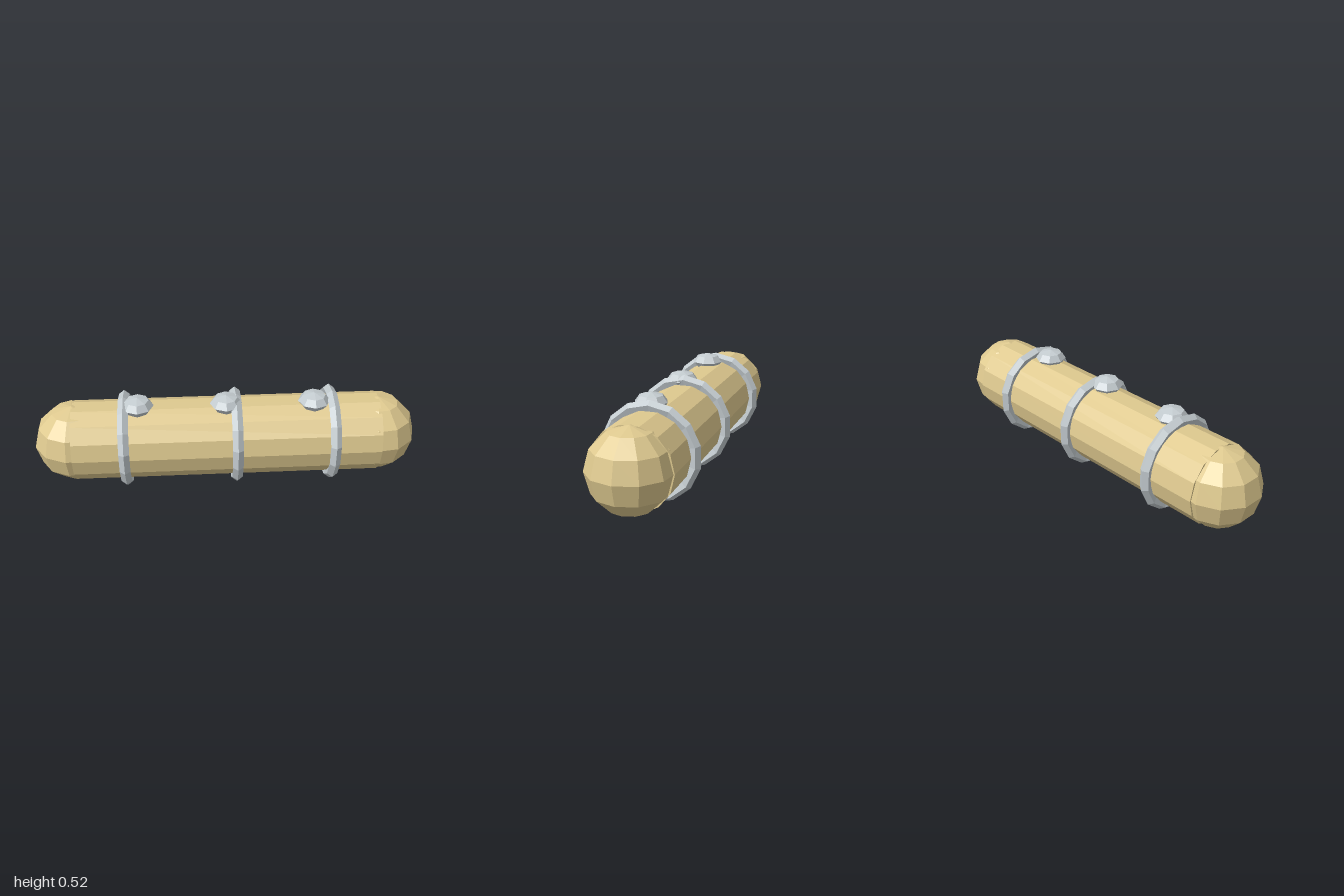
import * as THREE from 'three';

const AXIS_Y = 0.255;
const RADIUS = 0.208;
const LEFT_END = 0.792;
const RIGHT_END = -0.8;

export function createModel() {
  const model = new THREE.Group();
  const tan = new THREE.MeshStandardMaterial({ color: 0xdec98f, flatShading: true });
  const metal = new THREE.MeshStandardMaterial({ color: 0xc4ccd0, flatShading: true });

  const add = (name, geometry, material, x, y = AXIS_Y, z = 0) => {
    const mesh = new THREE.Mesh(geometry, material);
    mesh.name = name;
    mesh.position.set(x, y, z);
    model.add(mesh);
  };

  // Long barrel lying along x, with a corner line along its top
  const barrel = new THREE.CylinderGeometry(RADIUS, RADIUS, LEFT_END - RIGHT_END, 14);
  barrel.rotateZ(Math.PI / 2);
  add('barrel', barrel, tan, (LEFT_END + RIGHT_END) / 2);

  // Rounded ends: upright spheres with a corner towards +x and a flat facet towards -x
  const cap = new THREE.SphereGeometry(RADIUS, 11, 6).rotateY(Math.PI);
  add('leftCap', cap, tan, LEFT_END);
  add('rightCap', cap, tan, RIGHT_END);

  // Metal bands around the barrel
  const band = new THREE.TorusGeometry(0.225, 0.029, 5, 14).rotateZ(Math.PI / 2).rotateY(Math.PI / 2);
  [-0.533, 0.045, 0.545].forEach((x, i) => add('band' + (i + 1), band, metal, x));

  // Flattened studs set into the top, slightly forward of centre
  const stud = new THREE.SphereGeometry(0.083, 8, 4).scale(1, 0.56, 1);
  [-0.46, -0.007, 0.448].forEach((x, i) => add('stud' + (i + 1), stud, metal, x, 0.473, 0.03));

  return model;
}
